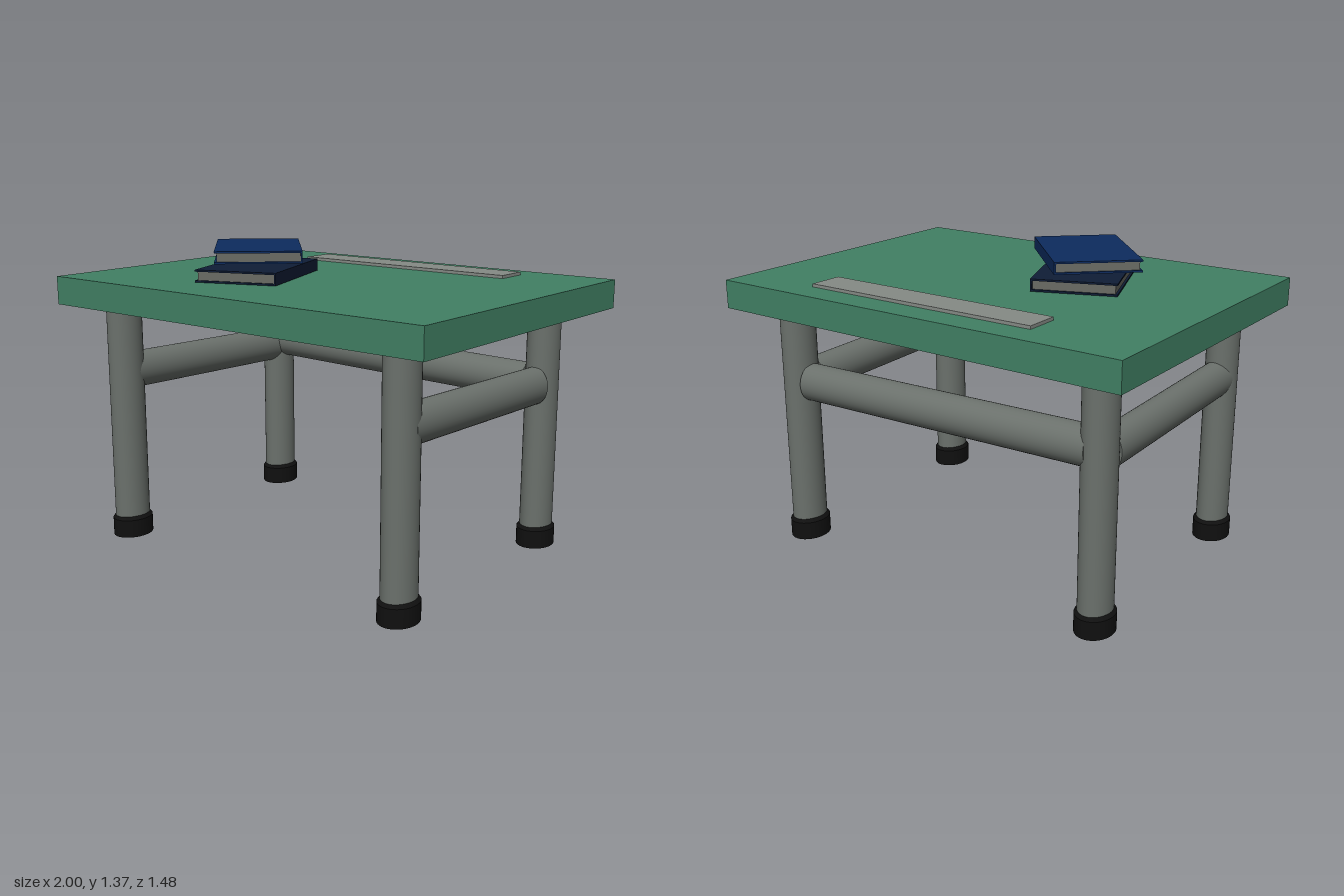
import * as THREE from 'three';

const mat = (color) => new THREE.MeshStandardMaterial({ color });

export function createModel() {
  const model = new THREE.Group();
  const green = mat(0x418064), steel = mat(0x6b716c), black = mat(0x101010);
  const paper = mat(0x6a6b64), plastic = mat(0x868b86);

  const add = (parent, name, geometry, material, x = 0, y = 0, z = 0) => {
    const mesh = new THREE.Mesh(geometry, material);
    mesh.name = name;
    mesh.position.set(x, y, z);
    parent.add(mesh);
    return mesh;
  };

  // Table top
  add(model, 'tableTop', new THREE.BoxGeometry(2, 0.127, 1.48), green, 0, 1.1635, 0);

  // Oval legs with black end caps that have a chamfered rim
  const legGeo = new THREE.CylinderGeometry(1, 1, 1.09, 40).scale(0.071, 1, 0.086);
  const footGeo = new THREE.CylinderGeometry(1, 1, 0.083, 40).scale(0.083, 1, 0.098);
  const rimGeo = new THREE.CylinderGeometry(0.86, 1, 0.016, 40, 1, true).scale(0.083, 1, 0.098);
  const legSpots = [
    ['frontRightLeg', -0.794, 0.534], ['frontLeftLeg', 0.765, 0.534],
    ['backRightLeg', -0.794, -0.522], ['backLeftLeg', 0.765, -0.55],
  ];
  for (const [name, x, z] of legSpots) {
    const leg = new THREE.Group();
    leg.name = name;
    leg.position.set(x, 0, z);
    add(leg, 'legTube', legGeo, steel, 0, 0.555, 0);
    add(leg, 'foot', footGeo, black, 0, 0.0415, 0);
    add(leg, 'footRim', rimGeo, black, 0, 0.091, 0);
    model.add(leg);
  }

  // Oval rails between the legs, dropping slightly along their length
  const rail = (name, from, to, halfWidth) => {
    const a = new THREE.Vector3(...from), b = new THREE.Vector3(...to);
    const geo = new THREE.CylinderGeometry(1, 1, a.distanceTo(b), 40)
      .rotateX(Math.PI / 2).scale(halfWidth, 0.085, 1);
    const mid = a.clone().lerp(b, 0.5);
    add(model, name, geo, steel, mid.x, mid.y, mid.z).lookAt(b);
  };
  rail('leftRail', [0.768, 0.786, 0.53], [0.768, 0.761, -0.472], 0.07);
  rail('rightRail', [-0.794, 0.786, 0.53], [-0.794, 0.761, -0.472], 0.068);
  rail('backRail', [-0.77, 0.786, -0.53], [0.7, 0.761, -0.545], 0.08);

  // Books: two covers, a spine on one long edge and an inset page block
  const book = (name, length, width, height, y, degrees, color) => {
    const g = new THREE.Group(), cover = mat(color), t = 0.008;
    g.name = name;
    g.position.set(-0.284, y, 0.179);
    g.rotation.y = -THREE.MathUtils.degToRad(degrees);
    for (const s of [0, 1]) {
      add(g, s ? 'topCover' : 'bottomCover', new THREE.BoxGeometry(length, t, width), cover,
        0, s ? height - t / 2 : t / 2, 0);
    }
    add(g, 'spine', new THREE.BoxGeometry(length, height - 2 * t, t), cover,
      0, height / 2, -width / 2 + t / 2);
    add(g, 'pages', new THREE.BoxGeometry(length - 0.02, height - 2 * t, width - t - 0.01), paper,
      0, height / 2, t / 2 - 0.005);
    model.add(g);
  };
  book('lowerBook', 0.55, 0.372, 0.054, 1.23, 69, 0x0f1d36);
  book('upperBook', 0.537, 0.375, 0.053, 1.317, 47.2, 0x0d2b5e);

  // Flat ruler near the back edge
  add(model, 'ruler', new THREE.BoxGeometry(1.13, 0.014, 0.157), plastic, 0.035, 1.234, -0.53);

  return model;
}
